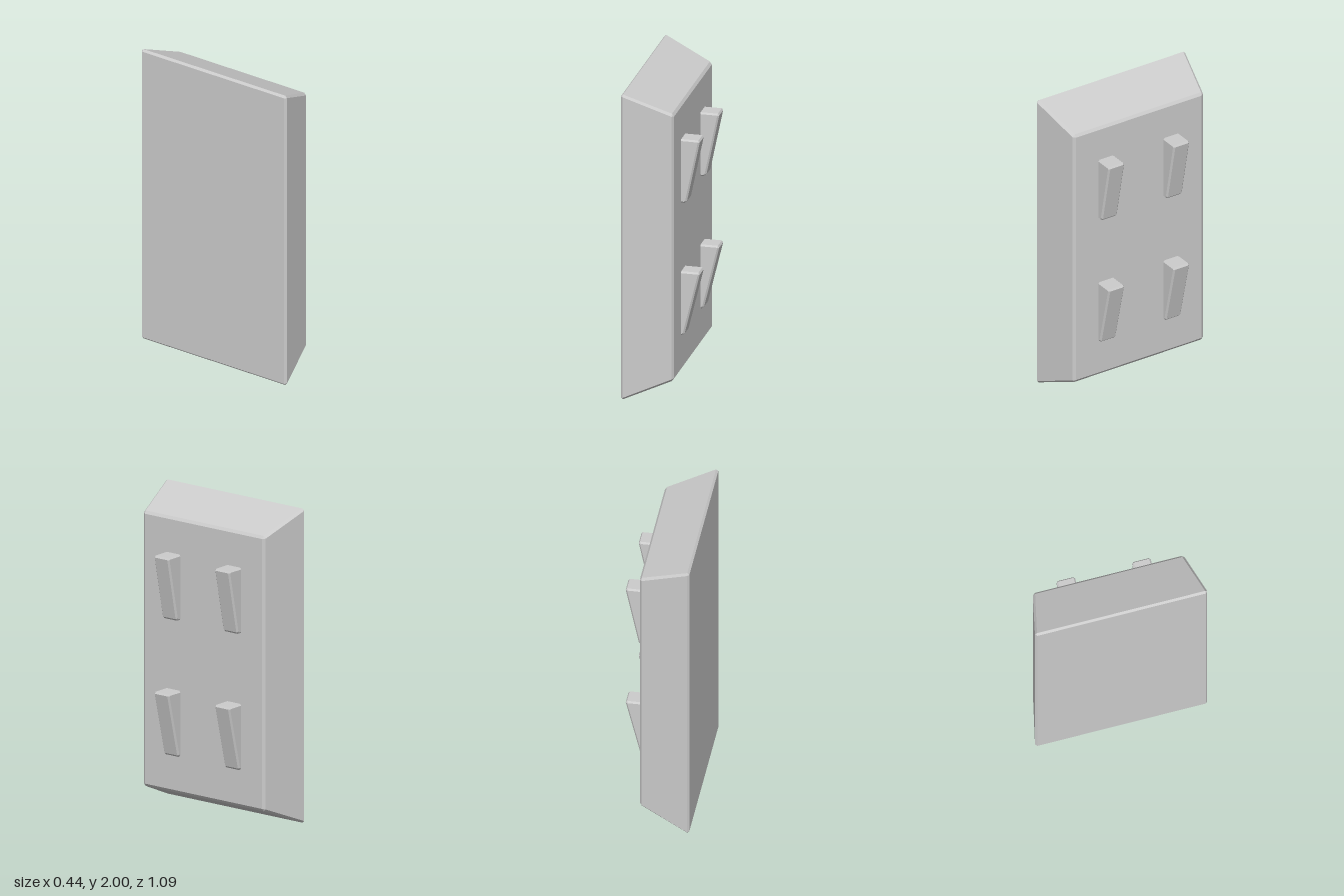
import * as THREE from 'three';
import { ConvexGeometry } from 'three/addons/geometries/ConvexGeometry.js';

const material = new THREE.MeshStandardMaterial({ color: 0xcccccc, flatShading: true });

// Tapered slab: rectangular sections along x, corners trimmed by "cut"
function slabGeometry() {
  const sections = [ // x, half height, half width, corner cut
    [-0.22, 0.987, 0.535, 0],
    [-0.207, 1.0, 0.547, 0.013],
    [0.087, 0.877, 0.482, 0.015],
    [0.1, 0.859, 0.464, 0],
  ];
  const points = [];
  for (const [x, h, w, cut] of sections) {
    for (const sy of [-1, 1]) for (const sz of [-1, 1]) {
      points.push(new THREE.Vector3(x, 1 + sy * h, sz * (w - cut)));
      if (cut) points.push(new THREE.Vector3(x, 1 + sy * (h - cut), sz * w));
    }
  }
  return new ConvexGeometry(points);
}

// Wedge peg: slanted side profile with bevelled edges, rooted inside the slab
function pegGeometry(top, bottom, bottomX) {
  const b = 0.01, width = 0.118;
  const profile = new THREE.Shape([
    [0.05, bottom], [bottomX - 0.005, bottom], [bottomX + 0.008, bottom + 0.012],
    [0.217, top - 0.012], [0.209, top], [0.05, top],
  ].map(([x, y]) => new THREE.Vector2(x, y)));
  const geometry = new THREE.ExtrudeGeometry(profile, {
    depth: width - 2 * b, bevelEnabled: true, bevelSegments: 1,
    bevelThickness: b, bevelSize: b, bevelOffset: -b,
  });
  return geometry.translate(0, 0, -width / 2 + b);
}

export function createModel() {
  const group = new THREE.Group();
  const slab = new THREE.Mesh(slabGeometry(), material);
  slab.name = 'slab';
  group.add(slab);

  // Two rows of pegs, mirrored front and back
  const rows = [
    ['upperPeg', pegGeometry(1.647, 1.23, 0.128)],
    ['lowerPeg', pegGeometry(0.78, 0.36, 0.113)],
  ];
  for (const [name, geometry] of rows) {
    for (const side of [-1, 1]) {
      const peg = new THREE.Mesh(geometry, material);
      peg.name = name + (side > 0 ? 'Front' : 'Back');
      peg.position.z = side * 0.24;
      group.add(peg);
    }
  }
  return group;
}
